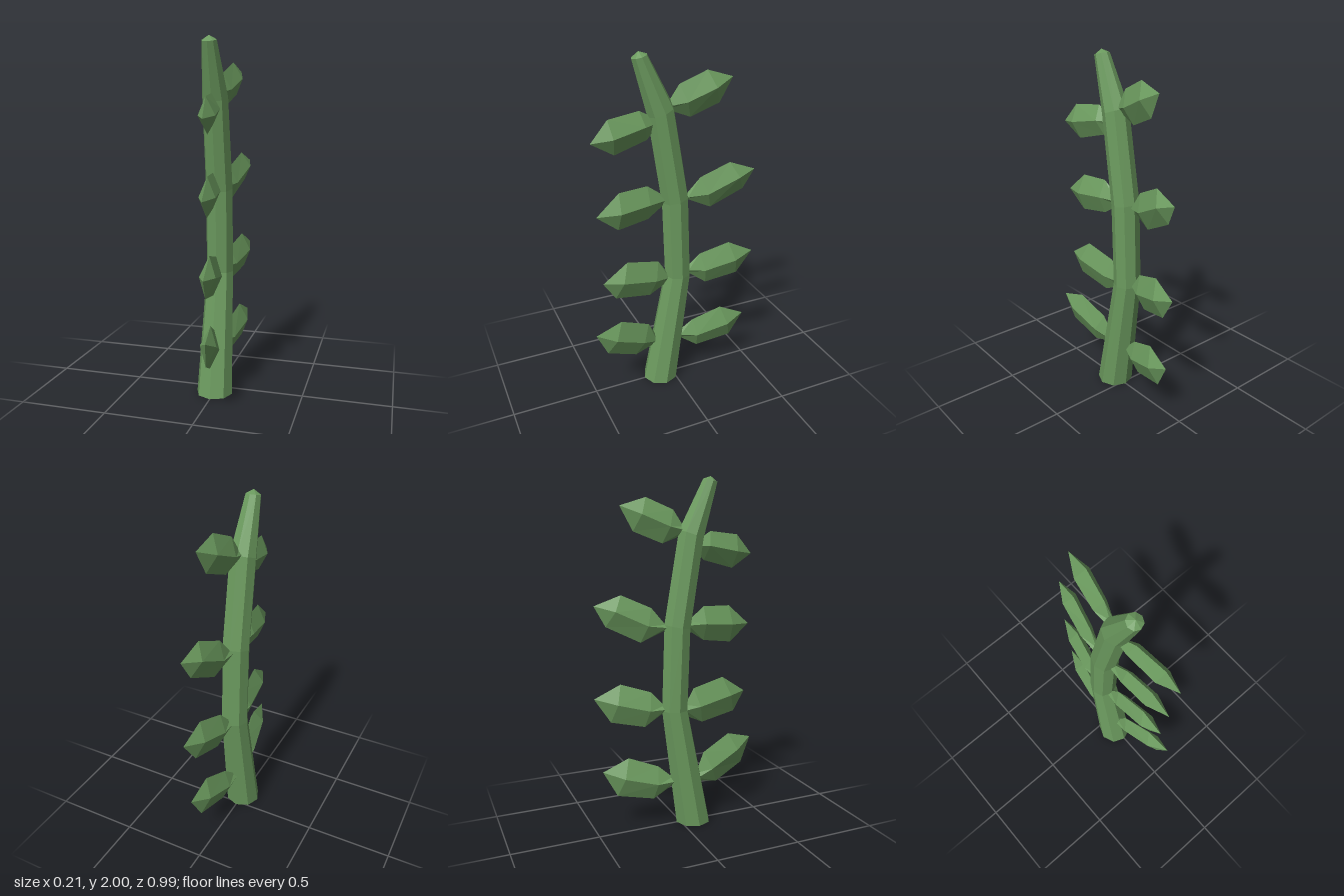
import * as THREE from 'three';

const green = new THREE.MeshStandardMaterial({ color: 0x6b9a5e, flatShading: true });
green.name = 'leaf green';

// Skins a row of equal-sized rings; single points close the ends.
function loft(name, rings, flip = false) {
  const pos = [];
  const tri = (a, b, c) => {
    if (a === b || b === c || a === c) return;
    pos.push(...a, ...(flip ? c : b), ...(flip ? b : c));
  };
  const n = Math.max(...rings.map((r) => r.length));
  for (let i = 0; i < rings.length - 1; i++) {
    const p = rings[i], q = rings[i + 1];
    for (let k = 0; k < n; k++) {
      const a = p[k % p.length], b = p[(k + 1) % n % p.length];
      const d = q[k % q.length], c = q[(k + 1) % n % q.length];
      tri(a, d, b);
      tri(b, d, c);
    }
  }
  const g = new THREE.BufferGeometry();
  g.setAttribute('position', new THREE.Float32BufferAttribute(pos, 3));
  g.computeVertexNormals();
  const mesh = new THREE.Mesh(g, green);
  mesh.name = name;
  return mesh;
}

// Bent eight-sided stem: [height, z centre, radius, tilt of the ring]
function stem() {
  const sections = [
    [0, 0.08, 0.104, 0], [0.7, -0.035, 0.078, 0],
    [1.18, -0.018, 0.078, -0.2], [1.685, 0.065, 0.073, -0.35], [1.975, 0.178, 0.042, -0.25],
  ];
  const rings = sections.map(([y, z, r, tilt]) =>
    Array.from({ length: 8 }, (_, k) => {
      const a = (k * Math.PI) / 4, dz = r * Math.sin(a);
      return [r * Math.cos(a), y + tilt * dz, z + dz];
    }));
  return loft('stem', [[[0, 0, 0.08]], ...rings, [[0, 2, 0.182]]]);
}

// Faceted leaf with a diamond section. The outline runs as (z, y) pairs:
// base top, base bottom, inner top, inner bottom, outer top, outer bottom, tip.
function leaf(name, o, tipX) {
  const tip = [tipX, o[13], o[12]];
  const ring = (i, x, half) => {
    const [tz, ty, bz, by] = o.slice(i, i + 4);
    const my = (ty + by) / 2, mz = (tz + bz) / 2;
    return [[x, ty, tz], [x + half, my, mz], [x, by, bz], [x - half, my, mz]];
  };
  const base = ring(0, 0.0, 0.02);
  const root = [0, (o[1] + o[3]) / 2, (o[0] + o[2]) / 2];
  return loft(name, [[root], base, ring(4, tipX * 0.3, 0.042), ring(8, tipX * 0.75, 0.046), [tip]], o[12] < 0);
}

export function createModel() {
  const group = new THREE.Group();
  group.name = 'leafy stalk';
  group.add(stem());

  const front = [
    [0.1, 0.29, 0.11, 0.24, 0.16, 0.405, 0.245, 0.21, 0.34, 0.49, 0.43, 0.295, 0.5, 0.445],
    [0.03, 0.72, 0.02, 0.66, 0.09, 0.81, 0.145, 0.6, 0.285, 0.855, 0.36, 0.64, 0.435, 0.755],
    [0.05, 1.21, 0.04, 1.16, 0.15, 1.285, 0.15, 1.09, 0.32, 1.28, 0.33, 1.065, 0.455, 1.165],
    [0.11, 1.66, 0.1, 1.59, 0.19, 1.705, 0.15, 1.545, 0.37, 1.685, 0.34, 1.495, 0.47, 1.575],
  ];
  const back = [
    [-0.05, 0.29, -0.05, 0.24, -0.13, 0.36, -0.16, 0.165, -0.3, 0.425, -0.37, 0.205, -0.45, 0.355],
    [-0.1, 0.73, -0.1, 0.69, -0.17, 0.81, -0.21, 0.61, -0.34, 0.865, -0.4, 0.65, -0.49, 0.79],
    [-0.09, 1.195, -0.09, 1.165, -0.165, 1.29, -0.23, 1.1, -0.33, 1.365, -0.42, 1.195, -0.48, 1.31],
    [0.02, 1.73, 0.03, 1.69, -0.035, 1.82, -0.1, 1.64, -0.185, 1.885, -0.26, 1.705, -0.33, 1.84],
  ];
  const frontTips = [0.07, 0.04, 0.04, 0.05], backTips = [0.07, 0.075, 0.07, 0.05];
  front.forEach((o, i) => group.add(leaf(`frontLeaf${i + 1}`, o, frontTips[i])));
  back.forEach((o, i) => group.add(leaf(`backLeaf${i + 1}`, o, backTips[i])));
  return group;
}
